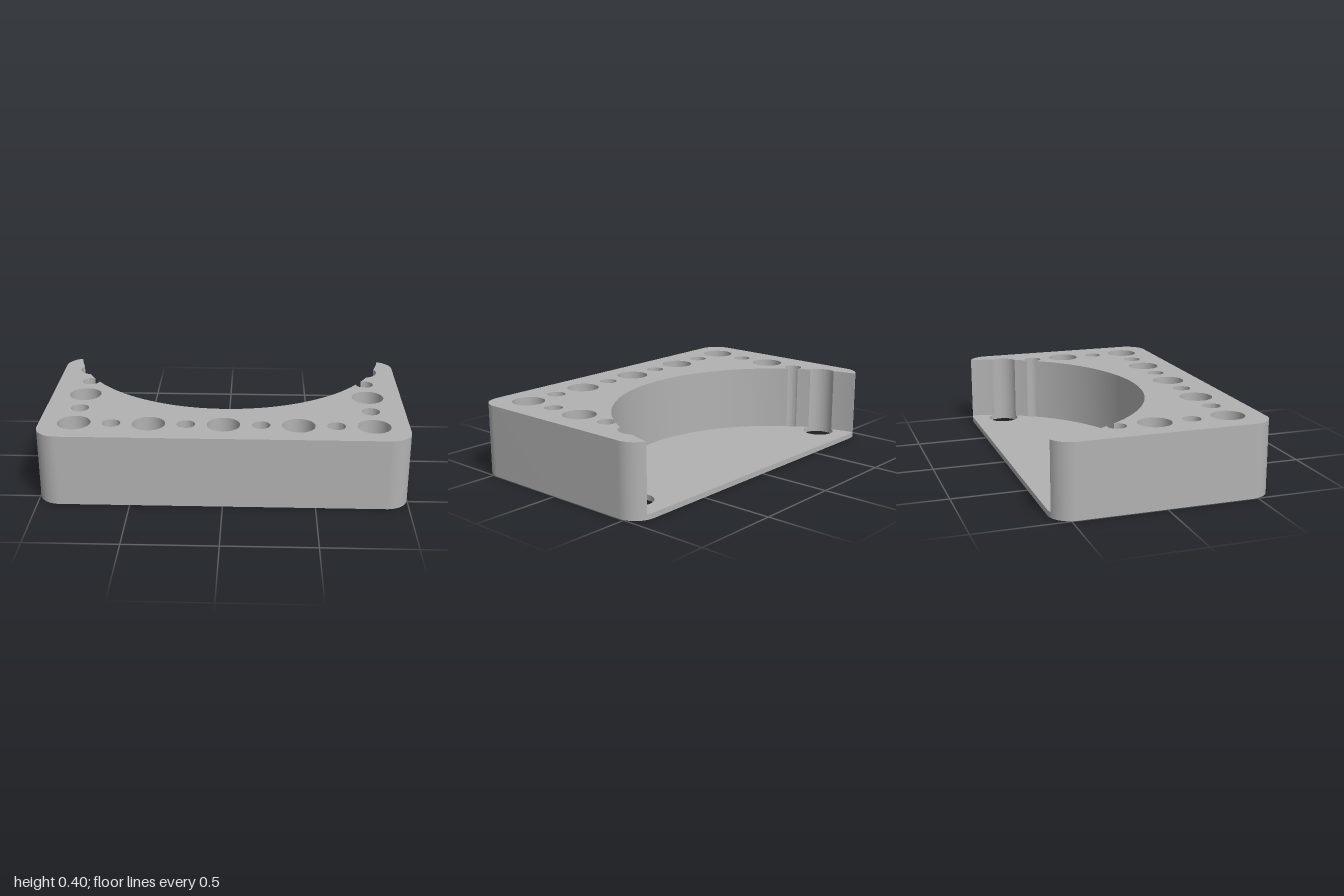
import * as THREE from 'three';
import { toCreasedNormals } from 'three/addons/utils/BufferGeometryUtils.js';

// Plan sizes; plan y is -z
const W = 1, D = 0.59, CORNER = 0.12, HEIGHT = 0.4, FLOOR = 0.03;
const BIG = 0.09, SMALL = 0.05, COL = 0.81, PITCH = 0.2025;
const CUT = { y: 0.745, r: 0.935 };
const CX = W - CORNER, CY = D - CORNER;

// Holes along the front row and both sides, alternating large and small
const holes = [];
for (let i = -4; i <= 4; i++) {
  holes.push({ x: i * PITCH, y: -2 * PITCH, r: i % 2 ? SMALL : BIG });
}
for (const x of [COL, -COL]) {
  for (let j = -1; j <= 2; j++) holes.push({ x, y: j * PITCH, r: j % 2 ? SMALL : BIG });
}

// Angles on the round cut where it crosses a circle, or null if it does not
function crossing({ x, y, r }) {
  const d = Math.hypot(x, y - CUT.y);
  const c = (d * d + CUT.r ** 2 - r * r) / (2 * d * CUT.r);
  if (Math.abs(c) >= 1) return null;
  const mid = Math.atan2(y - CUT.y, x), half = Math.acos(c);
  return { from: mid + half, to: mid - half };
}
const cutPoint = (a) => [CUT.r * Math.cos(a), CUT.y + CUT.r * Math.sin(a)];
const angleOn = (c, a) => {
  const [x, y] = cutPoint(a);
  return Math.atan2(y - c.y, x - c.x);
};

function addHole(shape, { x, y, r }) {
  shape.holes.push(new THREE.Path().absarc(x, y, r, 0, Math.PI * 2, true));
}

function slab(shape, bottom, top, name, material) {
  const geo = new THREE.ExtrudeGeometry(shape, { depth: top - bottom, bevelEnabled: false, curveSegments: 18 });
  geo.rotateX(-Math.PI / 2);
  geo.translate(0, bottom, 0);
  const mesh = new THREE.Mesh(toCreasedNormals(geo, 0.5), material);
  mesh.name = name;
  return mesh;
}

export function createModel() {
  const grey = new THREE.MeshStandardMaterial({ color: 0xb2b2b2 });
  grey.name = 'grey';
  const group = new THREE.Group();
  group.name = 'drilledBlock';
  const P = Math.PI;

  // Thin floor with the full rounded outline
  const floor = new THREE.Shape();
  floor.absarc(CX, -CY, CORNER, -P / 2, 0, false);
  floor.absarc(CX, CY, CORNER, 0, P / 2, false);
  floor.absarc(-CX, CY, CORNER, P / 2, P, false);
  floor.absarc(-CX, -CY, CORNER, P, P * 1.5, false);
  holes.forEach((h) => addHole(floor, h));

  // Tall body: the same outline with the round cut opening to the back
  const body = new THREE.Shape();
  const corner = { x: CX, y: CY, r: CORNER };
  const start = crossing(corner).from;
  const cornerEnd = angleOn(corner, start);
  body.absarc(CX, -CY, CORNER, -P / 2, 0, false);
  body.absarc(CX, CY, CORNER, 0, cornerEnd, false);

  // Follow the cut from right to left, detouring around the holes it meets
  const notches = holes.map((h) => ({ h, c: crossing(h) })).filter((n) => n.c);
  notches.sort((a, b) => b.c.from - a.c.from);
  let at = start;
  for (const { h, c } of notches) {
    body.absarc(0, CUT.y, CUT.r, at, c.from, true);
    body.absarc(h.x, h.y, h.r, angleOn(h, c.from), angleOn(h, c.to), true);
    at = c.to;
  }
  body.absarc(0, CUT.y, CUT.r, at, -P - start, true);
  body.absarc(-CX, CY, CORNER, P - cornerEnd, P, false);
  body.absarc(-CX, -CY, CORNER, P, P * 1.5, false);
  holes.filter((h) => !crossing(h)).forEach((h) => addHole(body, h));

  group.add(slab(floor, 0, FLOOR, 'floor', grey));
  group.add(slab(body, FLOOR, HEIGHT, 'body', grey));
  return group;
}
